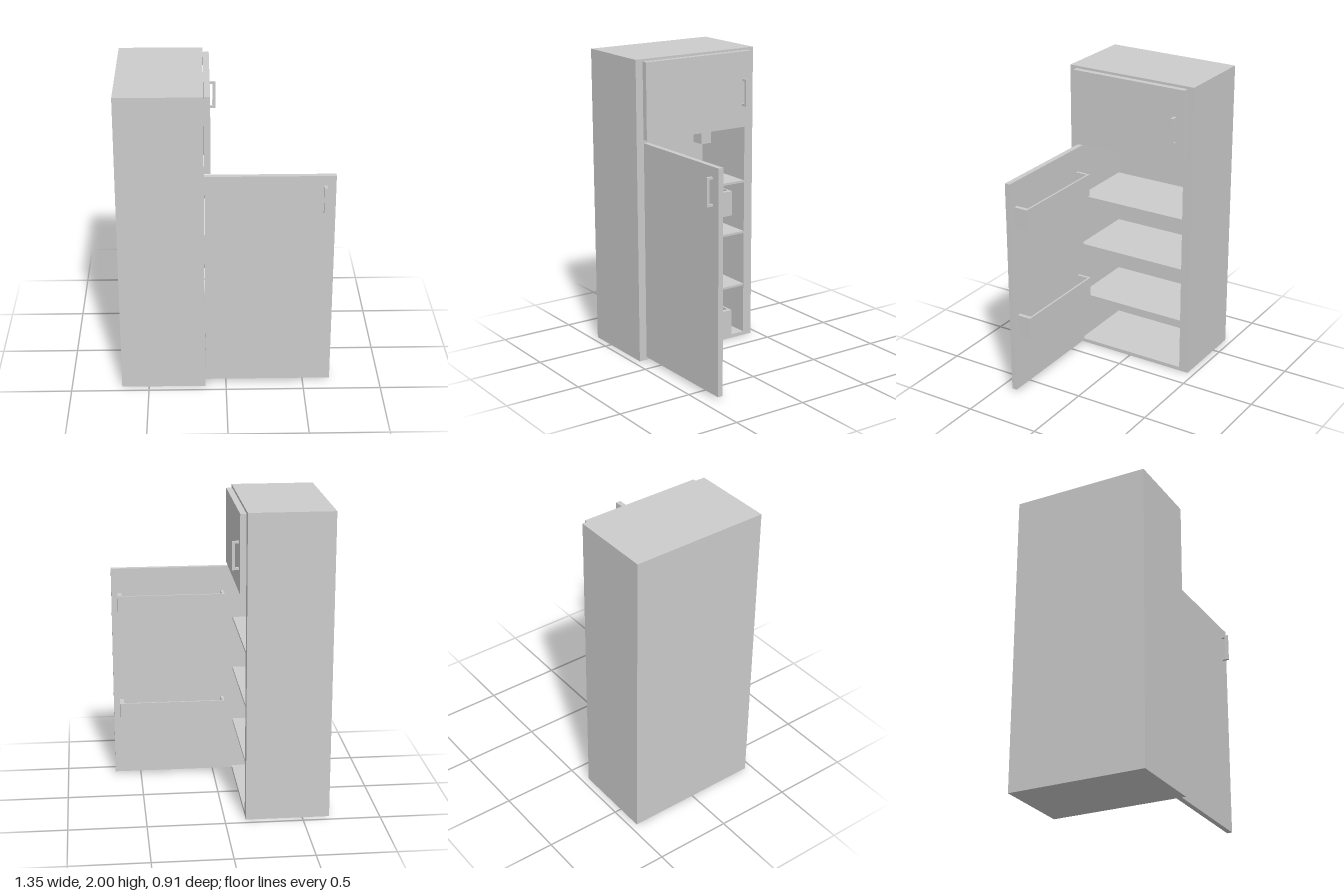
import * as THREE from 'three';

const material = new THREE.MeshStandardMaterial({ color: 0xcccccc, flatShading: true });

// Box given by its minimum and maximum corners
function box(parent, name, x0, x1, y0, y1, z0, z1) {
  const mesh = new THREE.Mesh(new THREE.BoxGeometry(x1 - x0, y1 - y0, z1 - z0), material);
  mesh.position.set((x0 + x1) / 2, (y0 + y1) / 2, (z0 + z1) / 2);
  mesh.name = name;
  parent.add(mesh);
  return mesh;
}

function part(parent, name) {
  const group = new THREE.Group();
  group.name = name;
  parent.add(group);
  return group;
}

// Bracket handle standing out along +x, centred on its mounting point
function handle(name) {
  const h = 0.09, out = 0.043, grip = 0.019, post = 0.014;
  const shape = new THREE.Shape([
    [0, -h], [out, -h], [out, h], [0, h],
    [0, h - post], [out - grip, h - post], [out - grip, -h + post], [0, -h + post],
  ].map(([x, y]) => new THREE.Vector2(x, y)));
  const geometry = new THREE.ExtrudeGeometry(shape, { depth: 0.018, bevelEnabled: false });
  geometry.translate(0, 0, -0.009);
  const mesh = new THREE.Mesh(geometry, material);
  mesh.name = name;
  return mesh;
}

export function createModel() {
  const model = new THREE.Group();
  model.name = 'refrigerator';

  // Cabinet of panels, open towards +x
  const L = -0.675, R = -0.135, D = 0.455, inner = 0.39, back = -0.62;
  const cabinet = part(model, 'cabinet');
  box(cabinet, 'backPanel', L, back, 0, 2, -D, D);
  box(cabinet, 'sidePanelFront', back, R, 0, 2, inner, D);
  box(cabinet, 'sidePanelRear', back, R, 0, 2, -D, -inner);
  box(cabinet, 'floorPanel', back, R, 0, 0.025, -inner, inner);
  box(cabinet, 'divider', back, R, 1.472, 1.488, -inner, inner);
  box(cabinet, 'topPanel', back, R, 1.975, 2, -inner, inner);

  // Interior shelves and lamp housing
  const interior = part(model, 'interior');
  for (const y of [0.36, 0.735, 1.09]) {
    box(interior, 'shelf', back, R - 0.003, y, y + 0.015, -inner, inner);
  }
  box(interior, 'lampHousing', back, -0.52, 1.29, 1.472, -inner, -0.312);

  // Closed freezer door
  const freezer = part(model, 'freezerDoor');
  box(freezer, 'freezerPanel', -0.133, -0.094, 1.487, 1.985, -0.41, 0.405);
  const freezerHandle = handle('freezerHandle');
  freezerHandle.position.set(-0.094, 1.715, -0.348);
  freezer.add(freezerHandle);

  // Main door swung open
  const door = part(model, 'mainDoor');
  box(door, 'doorPanel', -0.133, 0.675, 0.02, 1.465, 0.368, 0.403);
  const doorHandle = handle('doorHandle');
  doorHandle.rotation.y = -Math.PI / 2;
  doorHandle.position.set(0.61, 1.312, 0.403);
  door.add(doorHandle);

  // Open-topped trays on the inside of the door
  for (const [y0, y1] of [[0.39, 0.55], [1.15, 1.3]]) {
    const tray = part(door, 'doorTray');
    box(tray, 'trayBase', -0.072, 0.635, y0, y0 + 0.018, 0.274, 0.368);
    box(tray, 'trayWall', -0.072, 0.635, y0 + 0.018, y1, 0.274, 0.286);
    box(tray, 'trayEndInner', -0.072, -0.054, y0 + 0.018, y1, 0.286, 0.368);
    box(tray, 'trayEndOuter', 0.608, 0.635, y0 + 0.018, y1, 0.286, 0.368);
  }

  return model;
}
